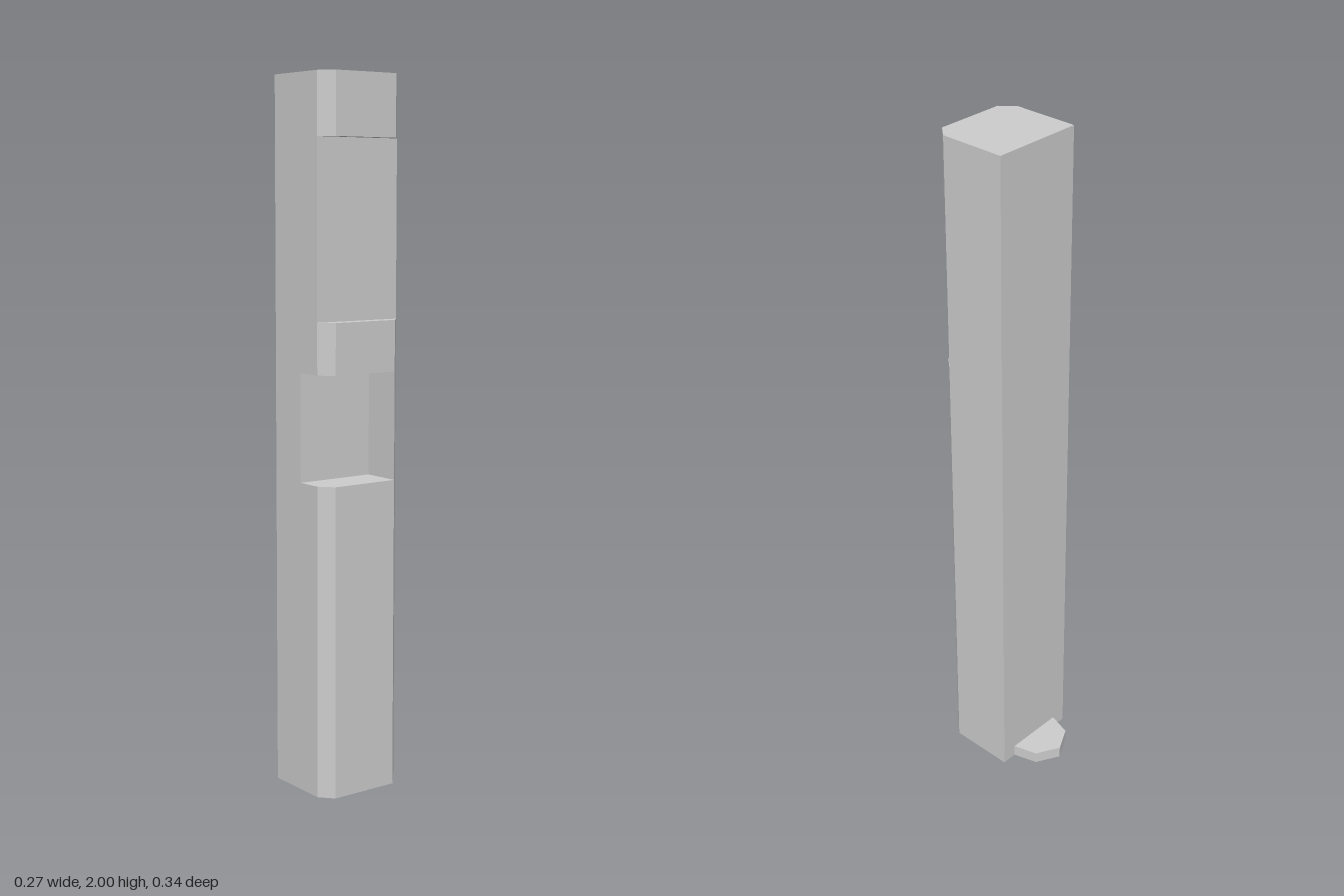
import * as THREE from 'three';

const material = new THREE.MeshStandardMaterial({ color: 0xcccccc, flatShading: true });

// Upright prism from a plan outline of [x, z] points, between two heights
function prism(name, outline, y0, y1) {
  const shape = new THREE.Shape(outline.map(([x, z]) => new THREE.Vector2(x, -z)));
  const geometry = new THREE.ExtrudeGeometry(shape, { depth: y1 - y0, bevelEnabled: false });
  geometry.rotateX(-Math.PI / 2);
  geometry.translate(0, y0, 0);
  const mesh = new THREE.Mesh(geometry, material);
  mesh.name = name;
  return mesh;
}

export function createModel() {
  const group = new THREE.Group();
  group.name = 'notchedPost';

  const w = 0.136, inner = 0.102;                              // half widths
  const back = -0.063, side = 0.133, front = 0.171, floor = 0.055; // depths

  // Plan outlines of the post
  const full = [[-w, back], [w, back], [w, side], [inner, front], [-inner, front], [-w, side]];
  const recessed = [[-w, back], [w, back], [w, side], [-w, side]];
  const notched = [[-w, back], [w, back], [w, side], [inner, front], [inner, floor], [-w, floor]];

  // Post, stacked from bottom to top
  group.add(
    prism('lowerPost', full, 0, 0.885),
    prism('sideNotch', notched, 0.885, 1.19),
    prism('middleBand', full, 1.19, 1.333),
    prism('frontRecess', recessed, 1.333, 1.828),
    prism('topBand', full, 1.828, 2),
  );

  // Low pointed tab at the back of the base
  const tab = [[0.09, back], [0.069, -0.134], [0, -0.171], [-0.069, -0.134], [-0.09, back]];
  group.add(prism('backTab', tab, 0, 0.036));

  return group;
}
